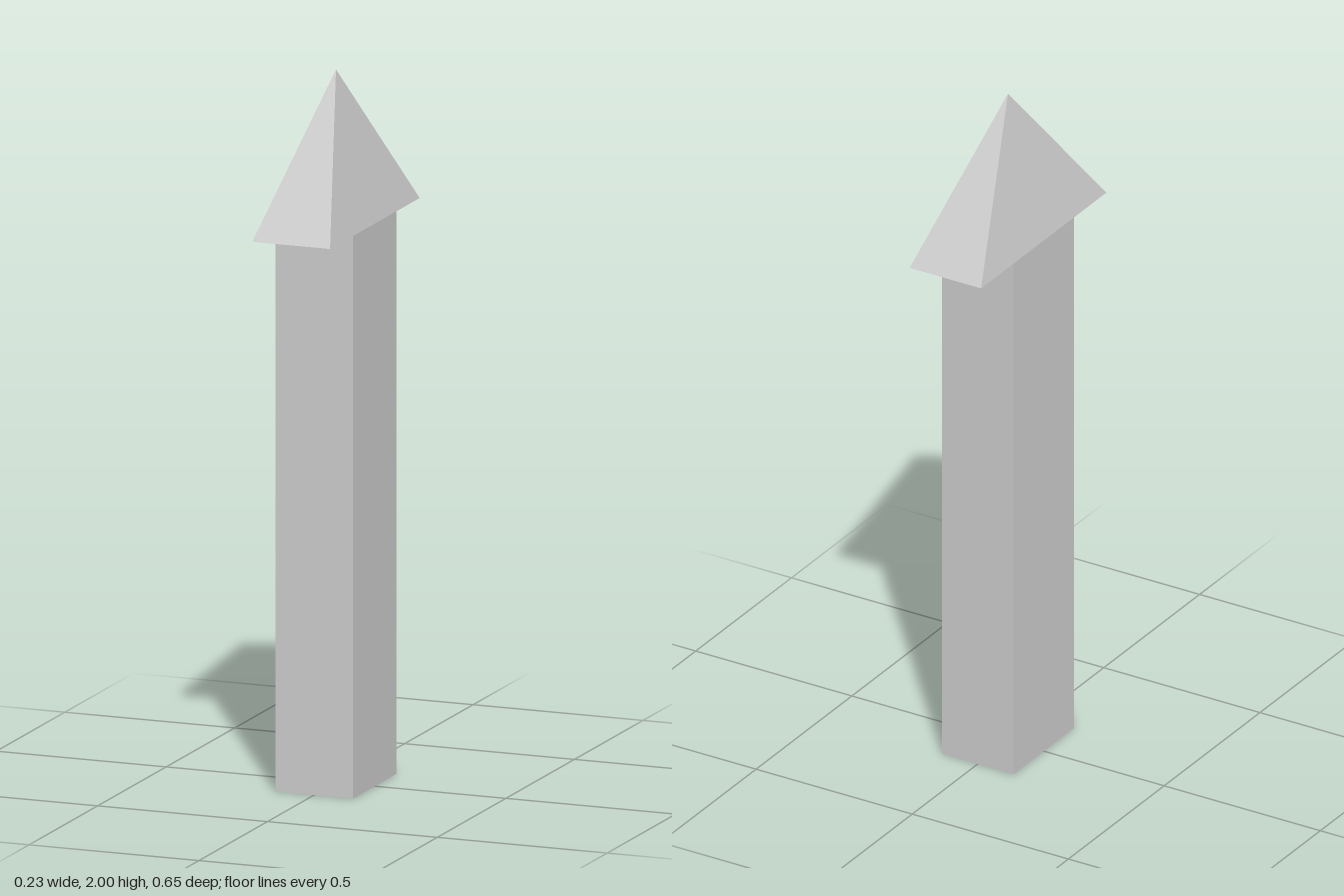
import * as THREE from 'three';

const HEIGHT = 2;
const SHAFT_HEIGHT = 1.578;
const WIDTH = 0.229;
const SHAFT_DEPTH = 0.316;
const HEAD_DEPTH = 0.654;

export function createModel() {
  const model = new THREE.Group();
  model.name = 'arrow';
  const material = new THREE.MeshStandardMaterial({ color: 0xcccccc, flatShading: true });

  const addPart = (name, geometry) => {
    const mesh = new THREE.Mesh(geometry, material);
    mesh.name = name;
    model.add(mesh);
  };

  // Rectangular post standing on the ground
  const shaft = new THREE.BoxGeometry(WIDTH, SHAFT_HEIGHT, SHAFT_DEPTH);
  shaft.translate(0, SHAFT_HEIGHT / 2, 0);
  addPart('shaft', shaft);

  // Four-sided pyramid, flush with the post in x and overhanging in z
  const headHeight = HEIGHT - SHAFT_HEIGHT;
  const head = new THREE.ConeGeometry(Math.SQRT1_2, headHeight, 4);
  head.rotateY(Math.PI / 4);
  head.scale(WIDTH, 1, HEAD_DEPTH);
  head.translate(0, SHAFT_HEIGHT + headHeight / 2, 0);
  addPart('arrowHead', head);

  return model;
}
